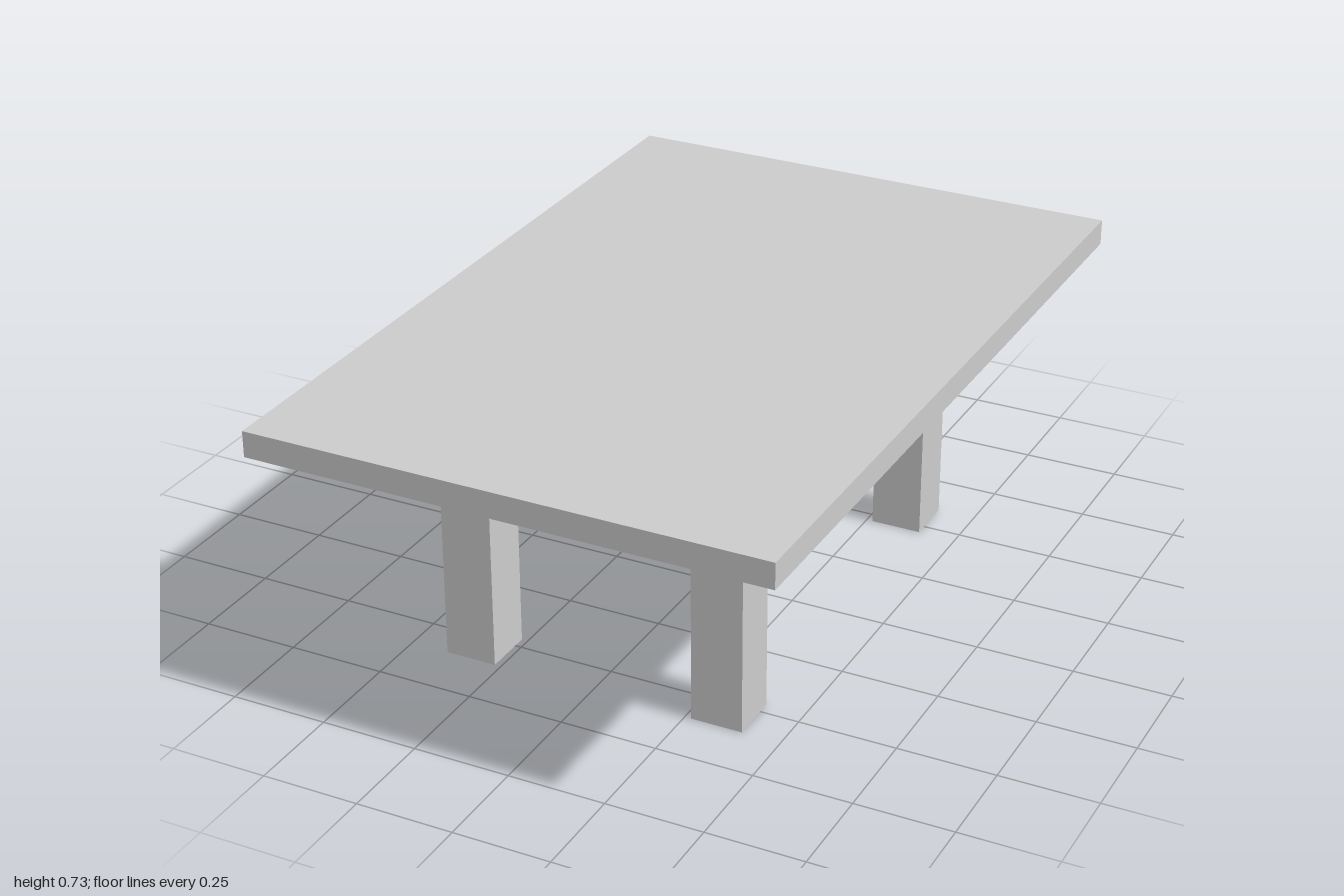
import * as THREE from 'three';

export function createModel() {
  const model = new THREE.Group();
  model.name = 'table';
  const material = new THREE.MeshStandardMaterial({ color: 0xcccccc });

  const unit = 1 / 15; // thickness of the top; all sizes are multiples of it
  const legHeight = 10 * unit;
  const legWidth = 2 * unit;

  const addBox = (name, size, position) => {
    const mesh = new THREE.Mesh(new THREE.BoxGeometry(...size), material);
    mesh.name = name;
    mesh.position.set(...position);
    model.add(mesh);
  };

  // Flat rectangular top
  addBox('tableTop', [20 * unit, unit, 30 * unit], [0, legHeight + unit / 2, 0]);

  // Four square legs, set in from the edges
  for (const [end, sz] of [['front', 1], ['back', -1]]) {
    for (const [side, sx] of [['Left', 1], ['Right', -1]]) {
      addBox(`${end}${side}Leg`, [legWidth, legHeight, legWidth],
        [sx * 5 * unit, legHeight / 2, sz * 8 * unit]);
    }
  }

  return model;
}
